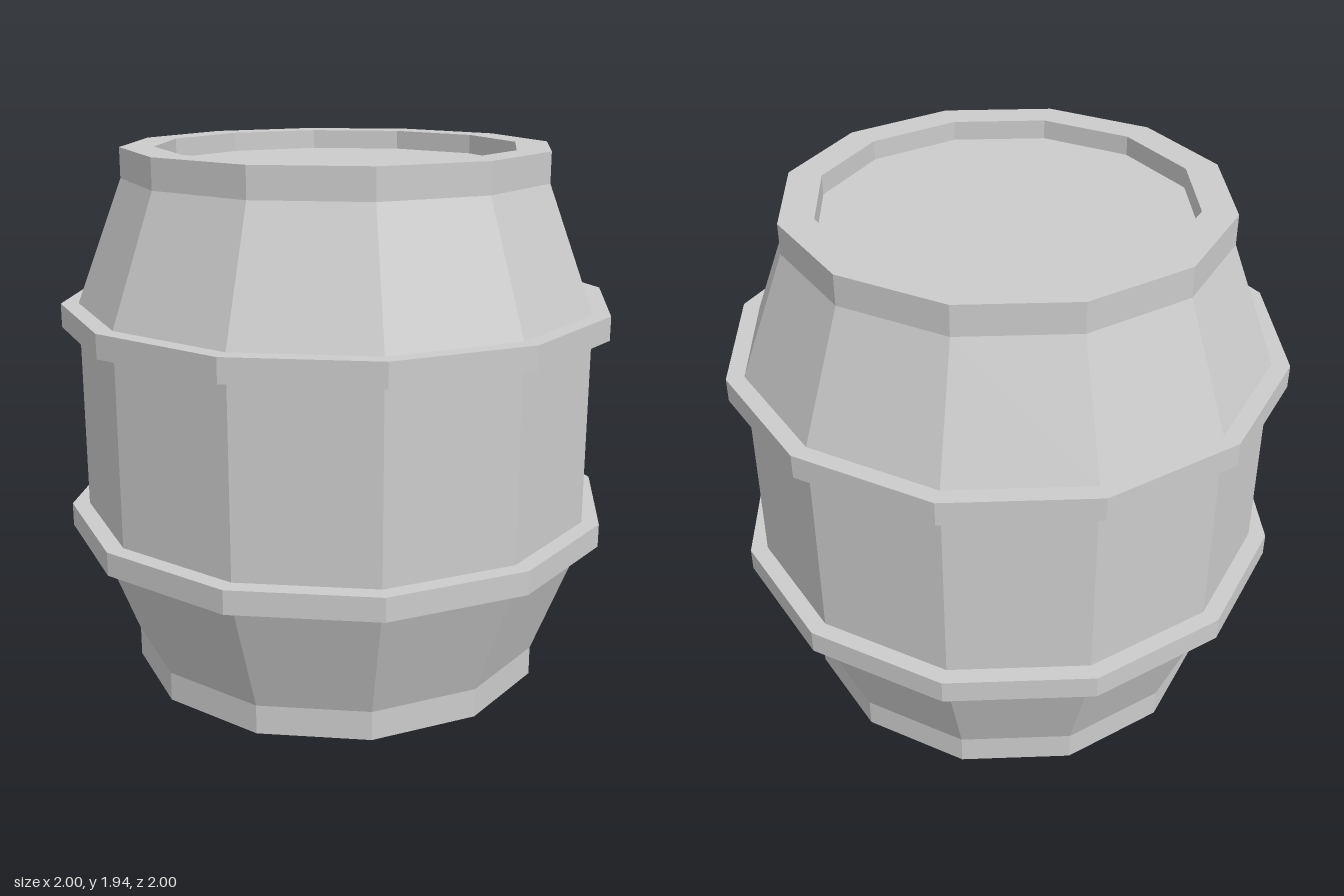
import * as THREE from 'three';

const SIDES = 12;
const material = new THREE.MeshStandardMaterial({ color: 0xcccccc, flatShading: true });

// Revolve a [radius, height] profile, listed bottom to top along the outside
function turned(name, profile) {
  const points = profile.map(([r, y]) => new THREE.Vector2(r, y));
  const mesh = new THREE.Mesh(new THREE.LatheGeometry(points, SIDES), material);
  mesh.name = name;
  return mesh;
}

export function createModel() {
  const group = new THREE.Group();
  group.name = 'barrel';

  const height = 1.937, recess = 0.07;
  const rim = 0.77, innerRim = 0.65, belly = 0.937;
  const hoopRadius = 1, hoopLow = 0.547, hoopHeight = 0.085;

  // Staves with raised rims at both ends
  group.add(turned('staves', [
    [innerRim, recess], [innerRim, 0], [rim, 0], [rim, 0.107],
    [belly, hoopLow], [belly, height - hoopLow],
    [rim, height - 0.107], [rim, height], [innerRim, height], [innerRim, height - recess],
  ]));

  // Recessed end discs
  group.add(turned('bottomHead', [[0, recess], [innerRim, recess]]));
  group.add(turned('topHead', [[innerRim, height - recess], [0, height - recess]]));

  // Hoops around the shoulders
  for (const [name, y] of [['lowerHoop', hoopLow], ['upperHoop', height - hoopLow - hoopHeight]]) {
    group.add(turned(name, [
      [belly, y], [hoopRadius, y], [hoopRadius, y + hoopHeight], [belly, y + hoopHeight],
    ]));
  }
  return group;
}
